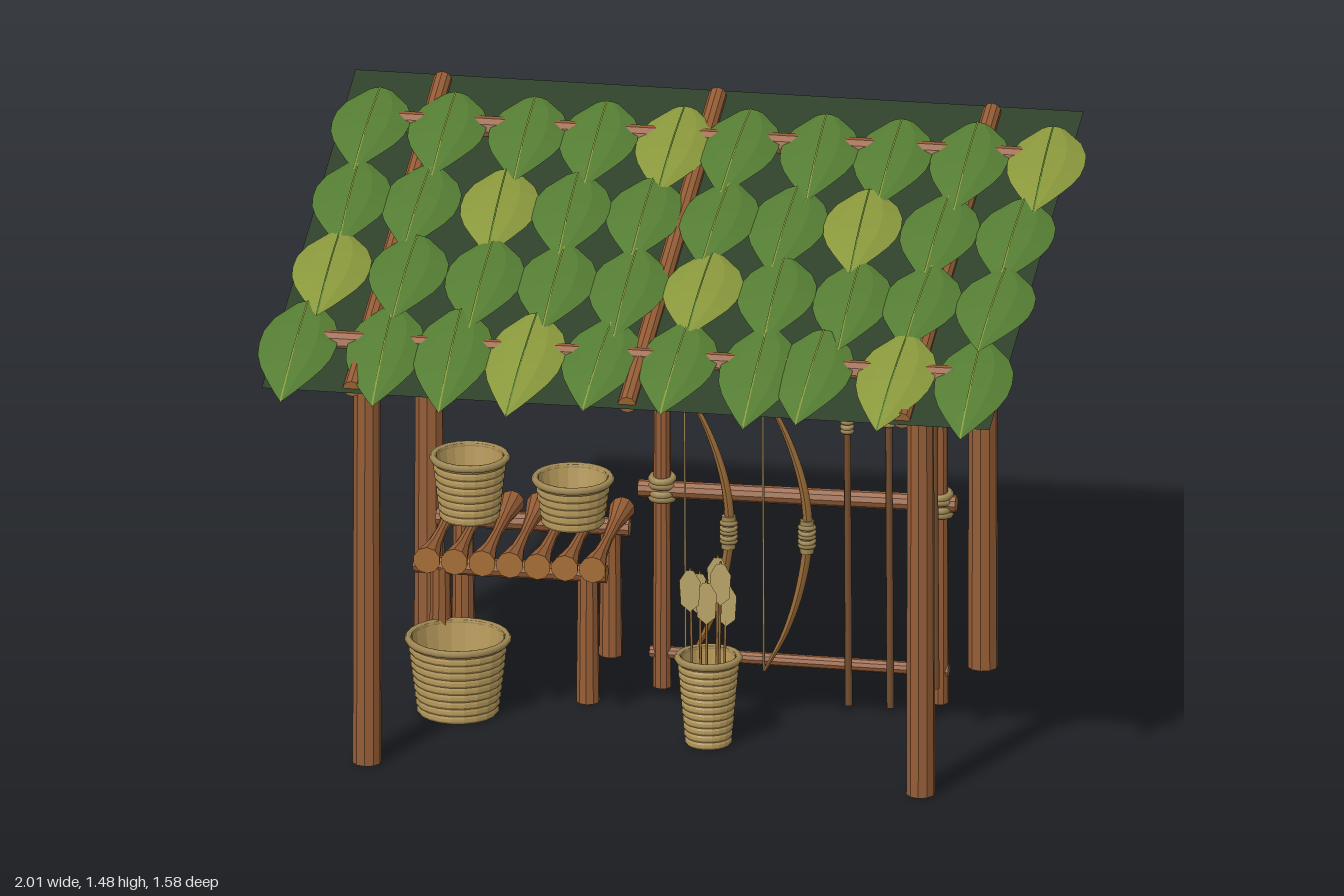
import * as THREE from 'three';

const mat = (name, color, side = THREE.FrontSide) => {
  const m = new THREE.MeshStandardMaterial({ color, side });
  m.name = name;
  return m;
};

export function createModel() {
  const root = new THREE.Group();
  const wood = mat('bark wood', 0x955d36);
  const cut = mat('cut wood', 0xa66d35);
  const dark = mat('dark shaft wood', 0x744d2e);
  const bowWood = mat('bow wood', 0x986a36);
  const rope = mat('rope', 0xa08854);
  const wicker = mat('wicker', 0xb5985a, THREE.DoubleSide);
  const feather = mat('feather', 0xb9a468, THREE.DoubleSide);
  const thatch = mat('dark thatch', 0x2f402b, THREE.DoubleSide);
  const green = mat('green leaf', 0x557d33, THREE.DoubleSide);
  const lime = mat('yellow green leaf', 0x8a983c, THREE.DoubleSide);

  let seed = 7;
  const rand = () => ((seed = (seed * 16807) % 2147483647) / 2147483647) - 0.5;
  const V = (x, y, z) => new THREE.Vector3(x, y, z);
  const flat = (g) => {
    const n = g.toNonIndexed();
    n.computeVertexNormals();
    return n;
  };
  const add = (parent, name, geo, m) => {
    const mesh = new THREE.Mesh(geo, m);
    mesh.name = name;
    parent.add(mesh);
    return mesh;
  };
  const group = (name) => {
    const g = new THREE.Group();
    g.name = name;
    root.add(g);
    return g;
  };
  // Aims the y axis of a mesh from a to b
  const aim = (mesh, a, b) => {
    mesh.position.copy(a).lerp(b, 0.5);
    mesh.quaternion.setFromUnitVectors(V(0, 1, 0), b.clone().sub(a).normalize());
    return mesh;
  };
  // Faceted log from a to b with pale cut ends; pinch narrows the middle
  const log = (parent, name, a, b, r0, r1 = r0, pinch = 0) => {
    const len = a.distanceTo(b);
    const g = new THREE.CylinderGeometry(r1, r0, len, 10, 4);
    const p = g.attributes.position;
    for (let i = 0; i < p.count; i++) {
      const k = 1 - pinch * (1 - (2 * p.getY(i) / len) ** 2);
      p.setX(i, p.getX(i) * k);
      p.setZ(i, p.getZ(i) * k);
    }
    return aim(add(parent, name, flat(g), [wood, cut, cut]), a, b);
  };
  const rod = (parent, name, a, b, r0, r1, m) =>
    aim(add(parent, name, new THREE.CylinderGeometry(r1, r0, a.distanceTo(b), 8), m), a, b);
  // Stacked rope turns around a vertical pole
  const lashing = (parent, x, y, z, r, turns = 3, t = 0.008) => {
    for (let i = 0; i < turns; i++) {
      const ring = add(parent, 'lashing', new THREE.TorusGeometry(r, t, 6, 14), rope);
      ring.position.set(x, y + (i - (turns - 1) / 2) * t * 1.8, z);
      ring.rotation.set(Math.PI / 2 + (i % 2 ? 0.12 : -0.12), 0, 0);
    }
  };

  // Frame: posts, beams, rafters and curved braces
  const frame = group('frame');
  for (const s of [-1, 1]) {
    log(frame, 'frontPost', V(s * 0.732, 0, 0.44), V(s * 0.732, 1.16, 0.44), 0.038, 0.035);
    log(frame, 'backPost', V(s * 0.732, 0, -0.54), V(s * 0.732, 1.4, -0.545), 0.04, 0.036);
    lashing(frame, s * 0.732, 1.13, 0.44, 0.038);
    lashing(frame, s * 0.732, 1.375, -0.545, 0.04);
    const curve = new THREE.CatmullRomCurve3([
      V(s * 0.74, 0.93, -0.54), V(s * 0.605, 1.1, -0.54), V(s * 0.44, 1.4, -0.55)]);
    add(frame, 'brace', new THREE.TubeGeometry(curve, 10, 0.023, 8), wood);
  }
  log(frame, 'frontBeam', V(-0.86, 1.165, 0.45), V(0.86, 1.165, 0.45), 0.03);
  log(frame, 'backBeam', V(-0.86, 1.41, -0.555), V(0.86, 1.41, -0.555), 0.031);
  for (const x of [-0.735, -0.008, 0.718])
    log(frame, 'rafter', V(x, 1.114, 0.66), V(x, 1.459, -0.77), 0.024);

  // Sloping roof with four rows of leaves
  const roof = group('roof');
  roof.position.set(0, 1.285, -0.06);
  roof.rotation.x = Math.atan(0.2365);
  const sheet = add(roof, 'thatchSheet', new THREE.PlaneGeometry(1.925, 1.521), thatch);
  sheet.rotation.x = -Math.PI / 2;
  sheet.position.x = -0.008;
  const widths = [0.03, 0.08, 0.099, 0.102, 0.097, 0.081, 0.057, 0.03, 0];
  const leafGeo = (len, tipY, vein) => {
    const g = new THREE.PlaneGeometry(1, 1, vein ? 1 : 4, 8);
    const p = g.attributes.position;
    for (let i = 0; i < p.count; i++) {
      const u = p.getX(i) * 2, t = 0.5 - p.getY(i);
      const w = widths[Math.round(t * 8)];
      const ridge = 0.042 + (tipY - 0.042) * t + 0.012 * Math.sin(Math.PI * t);
      if (vein) p.setXYZ(i, u * 0.0022, ridge + 0.002, t * len);
      else p.setXYZ(i, u * w, ridge - 0.028 * u * u * (w / 0.1), t * len);
    }
    return flat(g);
  };
  // Each row: start z, tip z, tip height and leaf centres
  [
    [-0.66, -0.265, 0.04, [-0.88, -0.68, -0.47, -0.28, -0.075, 0.1, 0.3, 0.5, 0.7, 0.9]],
    [-0.325, 0.07, 0.04, [-0.88, -0.69, -0.49, -0.3, -0.1, 0.1, 0.28, 0.47, 0.68, 0.88]],
    [0.005, 0.4, 0.04, [-0.875, -0.67, -0.47, -0.28, -0.09, 0.11, 0.3, 0.5, 0.69, 0.885]],
    [0.33, 0.755, 0.018, [-0.905, -0.68, -0.5, -0.3, -0.1, 0.1, 0.31, 0.46, 0.68, 0.875]],
  ].forEach(([z0, z1, tip, xs], r) => xs.forEach((x, i) => {
    const leaf = new THREE.Group();
    leaf.name = 'leaf';
    const len = (z1 - z0) / 0.973 + rand() * (r === 3 ? 0.06 : 0.03);
    const isLime = (i + 2 * r) % 5 === 4;
    add(leaf, 'leafBlade', leafGeo(len, tip, false), isLime ? lime : green);
    add(leaf, 'leafVein', leafGeo(len, tip, true), isLime ? green : lime);
    leaf.position.set(x, rand() * 0.006, (z0 + 0.06) / 0.973);
    leaf.rotation.y = rand() * 0.08;
    roof.add(leaf);
  }));

  // Log table
  const table = group('table');
  for (const z of [-0.11, -0.47]) {
    for (const x of [-0.63, -0.24])
      log(table, 'tableLeg', V(x, 0, z), V(x, 0.35, z), 0.031, 0.027);
    log(table, 'tableBeam', V(-0.7, 0.355, z), V(-0.19, 0.355, z), 0.024);
  }
  for (let i = 0; i < 7; i++) {
    const x = -0.655 + i * 0.073;
    log(table, 'tableLog', V(x, 0.39, -0.04), V(x, 0.39, -0.51), 0.036, 0.034, 0.6);
  }

  // Coiled open baskets
  const basket = (name, x, y, z, h, r0, r1) => {
    const g = group(name);
    g.position.set(x, y, z);
    const n = Math.round(h / 0.021), pts = [];
    for (let i = 0; i < n; i++) {
      const r = r0 + (r1 - r0) * (i / n);
      pts.push(new THREE.Vector2(r - 0.004, (i / n) * h));
      pts.push(new THREE.Vector2(r, ((i + 0.3) / n) * h));
      pts.push(new THREE.Vector2(r, ((i + 0.7) / n) * h));
    }
    pts.push(new THREE.Vector2(r1 - 0.012, h), new THREE.Vector2(r0 - 0.014, 0.015),
      new THREE.Vector2(0, 0.015));
    add(g, 'basketWall', flat(new THREE.LatheGeometry(pts, 20)), wicker);
    const base = add(g, 'basketBase', new THREE.CircleGeometry(r0 - 0.004, 20), dark);
    base.rotation.x = Math.PI / 2;
    base.position.y = 0.002;
    const rim = add(g, 'basketRim', new THREE.TorusGeometry(r1 - 0.004, 0.01, 6, 24), rope);
    rim.rotation.x = Math.PI / 2;
    rim.position.y = h - 0.006;
    return g;
  };
  basket('tallTableBasket', -0.585, 0.422, -0.3, 0.172, 0.08, 0.1);
  basket('lowTableBasket', -0.312, 0.422, -0.3, 0.128, 0.083, 0.103);
  basket('floorBasket', -0.562, 0, 0.02, 0.208, 0.108, 0.134);
  const quiver = basket('arrowBasket', 0.122, 0, 0.15, 0.242, 0.062, 0.084);

  // Arrows with flat fletching
  const fletch = new THREE.Shape([[0, 0], [0.024, 0.02], [0.028, 0.085], [0.01, 0.115],
    [-0.01, 0.115], [-0.028, 0.085], [-0.024, 0.02]].map(([x, y]) => new THREE.Vector2(x, y)));
  [[-0.04, 0.05, 0.5], [0, 0.03, 0.46], [0.035, 0.015, 0.51], [-0.025, -0.01, 0.47],
    [0.02, -0.03, 0.51], [0.04, -0.045, 0.43]].forEach(([x, z, top]) => {
    rod(quiver, 'arrowShaft', V(x * 0.8, 0.02, z * 0.9), V(x, top, z), 0.0035, 0.0035, bowWood);
    add(quiver, 'fletching', new THREE.ShapeGeometry(fletch), feather)
      .position.set(x, top - 0.12, z + 0.0045);
  });

  // Weapon rack
  const rack = group('rack');
  for (const x of [-0.068, 0.665]) {
    log(rack, 'rackPost', V(x, 0, -0.255), V(x, 0.775, -0.255), 0.025, 0.022);
    lashing(rack, x, 0.55, -0.255, 0.028, 4, 0.01);
  }
  log(rack, 'upperRail', V(-0.13, 0.546, -0.255), V(0.71, 0.552, -0.255), 0.023);
  log(rack, 'lowerRail', V(-0.1, 0.094, -0.255), V(0.69, 0.088, -0.255), 0.017);

  // Bows with string and wrapped grip
  for (const x of [0.005, 0.212]) {
    const bow = group('bow');
    bow.position.set(x, 0, -0.17);
    const arc = new THREE.CatmullRomCurve3([V(0, 0.87, 0), V(0.065, 0.74, 0), V(0.108, 0.6, 0),
      V(0.119, 0.47, 0), V(0.1, 0.33, 0), V(0.06, 0.2, 0), V(0.005, 0.09, 0)]);
    const limb = new THREE.TubeGeometry(arc, 32, 0.013, 8);
    const p = limb.attributes.position;
    for (let i = 0; i < p.count; i++) {
      const t = Math.floor(i / 9) / 32, c = arc.getPointAt(t);
      const k = 0.3 + 0.7 * Math.sin(Math.PI * t);
      const v = V(p.getX(i), p.getY(i), p.getZ(i)).sub(c).multiplyScalar(k).add(c);
      p.setXYZ(i, v.x, v.y, v.z);
    }
    limb.computeVertexNormals();
    add(bow, 'bowLimb', limb, bowWood);
    rod(bow, 'bowString', V(0.003, 0.09, 0), V(0, 0.87, 0), 0.003, 0.003, rope);
    rod(bow, 'bowGrip', V(0.116, 0.425, 0), V(0.117, 0.515, 0), 0.019, 0.019, rope);
    lashing(bow, 0.117, 0.47, 0, 0.018, 5, 0.007);
  }

  // Spears with lashed leaf-shaped heads
  [[0.44, 0.01, 0.905], [0.55, 0.01, 0.93], [0.67, 0.07, 0.96]].forEach(([x, y0, top]) => {
    const spear = group('spear');
    spear.position.set(x, 0, -0.165);
    rod(spear, 'spearShaft', V(0, y0, 0), V(-0.004, top - 0.08, 0), 0.01, 0.009, dark);
    lashing(spear, -0.004, top - 0.115, 0, 0.012, 4, 0.007);
    const head = new THREE.LatheGeometry([[0, -0.09], [0.012, -0.085], [0.018, -0.06], [0.011, -0.025],
      [0, 0]].map(([a, b]) => new THREE.Vector2(a, b)), 6);
    add(spear, 'spearHead', flat(head), bowWood).position.set(-0.004, top, 0);
  });

  return root;
}
